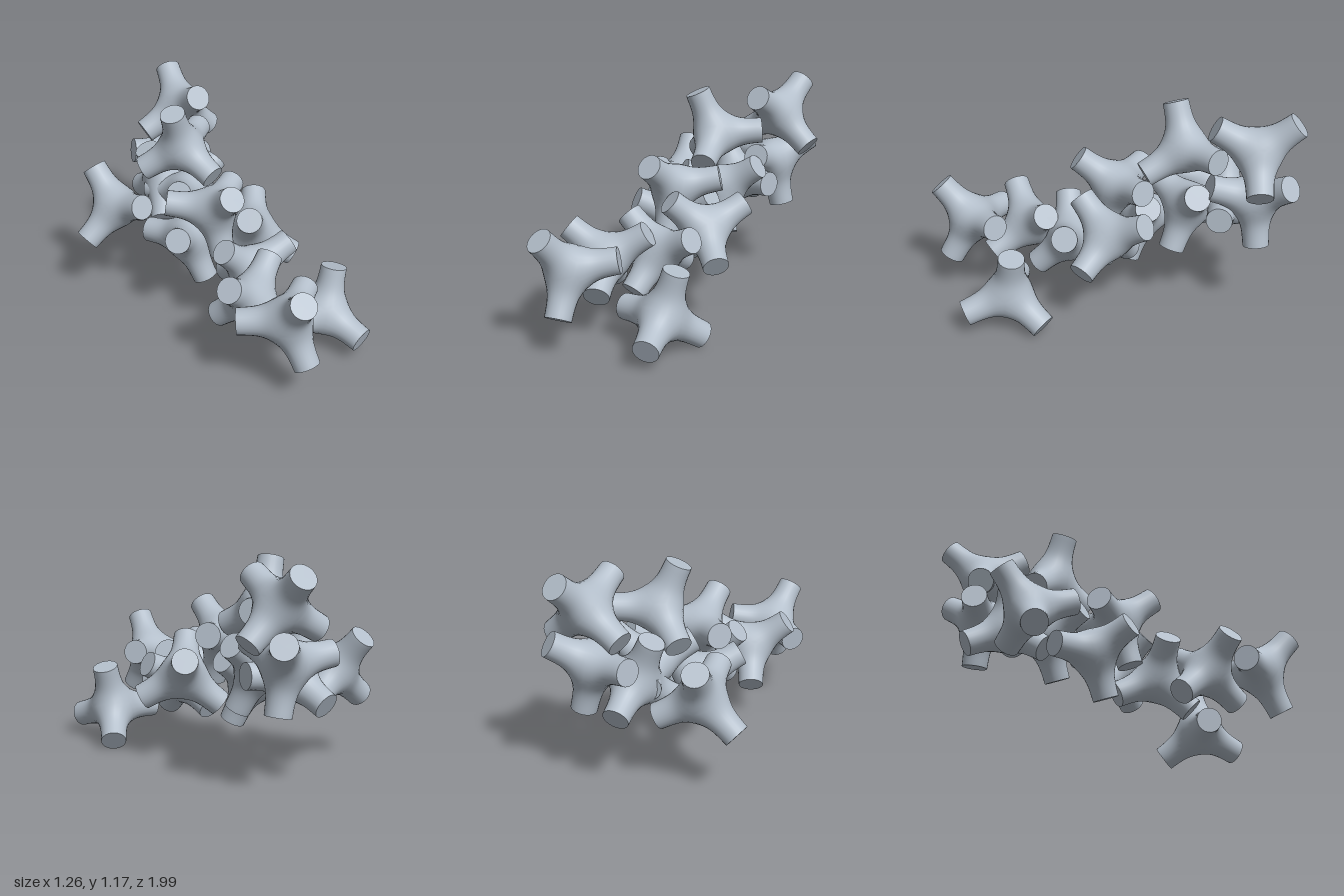
import * as THREE from 'three';
import { mergeVertices, mergeGeometries } from 'three/addons/utils/BufferGeometryUtils.js';

const ARM = 0.256;    // centre to end cap
const RADIUS = 0.069; // end cap radius
const BLEND = 27;     // higher = tighter fillets between the arms
const SIDES = 24, RINGS = 12;
const V = (x, y, z) => new THREE.Vector3(x, y, z);
const AXES = [V(1, 1, 1), V(1, -1, -1), V(-1, 1, -1), V(-1, -1, 1)].map(v => v.normalize());

// Smooth union of four rods: positive inside
function field(p) {
  let sum = -1;
  for (const a of AXES) {
    const along = Math.max(0, p.dot(a));
    const d = Math.sqrt(Math.max(0, p.lengthSq() - along * along));
    sum += Math.exp(-BLEND * (d - RADIUS));
  }
  return sum;
}

// Surface point in a direction from the centre
function surfacePoint(dir) {
  let lo = 0, hi = 0.4;
  for (let i = 0; i < 40; i++) {
    const mid = (lo + hi) / 2;
    if (field(dir.clone().multiplyScalar(mid)) > 0) lo = mid; else hi = mid;
  }
  return dir.clone().multiplyScalar(lo);
}

// One four-armed unit: each arm runs from its cap to the seam with its neighbours
function tetrapodGeometry() {
  const positions = [], index = [], caps = [];
  AXES.forEach((a, k) => {
    const b = AXES[(k + 1) % 4];
    const e1 = b.clone().addScaledVector(a, -b.dot(a)).normalize();
    const e2 = a.clone().cross(e1);
    const start = positions.length / 3;
    for (let i = 0; i <= RINGS; i++) {
      for (let j = 0; j < SIDES; j++) {
        const phi = j / SIDES * Math.PI * 2;
        const third = Math.PI * 2 / 3;
        const fold = phi - Math.round(phi / third) * third;
        const radial = e1.clone().multiplyScalar(Math.cos(phi)).addScaledVector(e2, Math.sin(phi));
        const cot = THREE.MathUtils.lerp(ARM / RADIUS, Math.SQRT1_2 * Math.cos(fold), i / RINGS);
        const p = i === 0
          ? radial.multiplyScalar(RADIUS).addScaledVector(a, ARM)
          : surfacePoint(radial.addScaledVector(a, cot).normalize());
        positions.push(p.x, p.y, p.z);
        if (i < RINGS) {
          const j2 = (j + 1) % SIDES;
          const D = start + i * SIDES + j, C = start + i * SIDES + j2;
          const A = D + SIDES, B = C + SIDES;
          index.push(A, B, C, A, C, D);
        }
      }
    }
    // flat end cap
    const cap = new THREE.CircleGeometry(RADIUS, SIDES);
    cap.deleteAttribute('uv');
    cap.applyMatrix4(new THREE.Matrix4().makeBasis(e1, e2, a).setPosition(a.clone().multiplyScalar(ARM)));
    caps.push(cap);
  });
  let body = new THREE.BufferGeometry();
  body.setAttribute('position', new THREE.Float32BufferAttribute(positions, 3));
  body.setIndex(index);
  body = mergeVertices(body, 1e-4);
  body.computeVertexNormals();
  return mergeGeometries([body, ...caps]);
}

// Rigid placement that best fits four approximate arm tips
function placement(tips) {
  const t = tips.map(p => V(...p));
  const mix = (...s) => t.reduce((sum, p, i) => sum.addScaledVector(p, s[i]), V(0, 0, 0));
  const centre = mix(0.25, 0.25, 0.25, 0.25);
  let m = mix(1, 1, -1, -1).normalize();
  let n = mix(1, -1, 1, -1).normalize();
  let p = mix(1, -1, -1, 1).normalize();
  if (m.dot(n.clone().cross(p)) < 0) [n, p] = [p, n];
  for (let i = 0; i < 12; i++) {
    const det = m.dot(n.clone().cross(p));
    const half = (v, u, w) => u.clone().cross(w).divideScalar(det).add(v).multiplyScalar(0.5);
    [m, n, p] = [half(m, n, p), half(n, p, m), half(p, m, n)];
  }
  return new THREE.Matrix4().makeBasis(m, n, p).setPosition(centre);
}

// Arm tips of every unit, by region of the pile
const frontUnits = [
  [[0.495, 0.485, 0.45], [0.19, 0.20, 0.50], [0.565, 0.12, 0.705], [0.53, 0.06, 0.29]],
  [[0.105, 0.63, 0.945], [0.105, 0.23, 0.89], [0.27, 0.51, 0.61], [-0.17, 0.385, 0.66]],
  [[0.155, 0.53, 0.34], [-0.14, 0.54, 0.575], [0.14, 0.275, 0.67], [-0.105, 0.255, 0.315]],
  [[0.343, 0.505, 0.20], [-0.057, 0.585, 0.268], [0.09, 0.283, -0.01], [0.14, 0.223, 0.40]],
];
const middleUnits = [
  [[0.023, 0.83, 0.19], [0.188, 0.728, -0.187], [-0.232, 0.708, -0.117], [0.025, 0.43, 0.064]],
  [[0.323, 0.616, -0.20], [0.427, 0.372, 0.10], [0.158, 0.652, 0.135], [0.062, 0.325, -0.088]],
  [[-0.235, 0.565, 0.045], [-0.03, 0.225, -0.09], [-0.24, 0.42, -0.32], [0.10, 0.59, -0.20]],
  [[0.17, 0.75, -0.46], [-0.105, 0.71, -0.21], [0.04, 0.37, -0.37], [-0.10, 0.52, -0.56]],
];
const backUnits = [
  [[-0.485, 0.75, -0.635], [-0.595, 0.375, -0.435], [-0.32, 0.62, -0.25], [-0.215, 0.43, -0.58]],
  [[0.09, 1.133, -0.95], [0.122, 1.105, -0.53], [0.278, 0.803, -0.79], [-0.115, 0.843, -0.757]],
  [[0.17, 0.84, -0.96], [-0.20, 0.735, -0.79], [0.135, 0.72, -0.525], [0.125, 0.45, -0.735]],
  [[-0.125, 1.118, -0.31], [0.15, 0.915, -0.562], [0.068, 0.783, -0.177], [-0.252, 0.77, -0.45]],
  [[-0.145, 0.805, -0.595], [0.155, 0.625, -0.55], [-0.165, 0.46, -0.80], [-0.13, 0.435, -0.43]],
];

export function createModel() {
  const group = new THREE.Group();
  group.name = 'tetrapodPile';
  const geometry = tetrapodGeometry();
  const material = new THREE.MeshStandardMaterial({ color: 0xb4bfcb });
  const regions = { frontTetrapod: frontUnits, middleTetrapod: middleUnits, backTetrapod: backUnits };
  for (const [name, units] of Object.entries(regions)) {
    units.forEach((tips, i) => {
      const mesh = new THREE.Mesh(geometry, material);
      mesh.name = name + (i + 1);
      mesh.applyMatrix4(placement(tips));
      group.add(mesh);
    });
  }
  // stand on the ground, centred
  group.updateMatrixWorld(true);
  const box = new THREE.Box3().setFromObject(group, true);
  const c = box.getCenter(V(0, 0, 0));
  for (const mesh of group.children) mesh.position.sub(V(c.x, box.min.y, c.z));
  return group;
}
